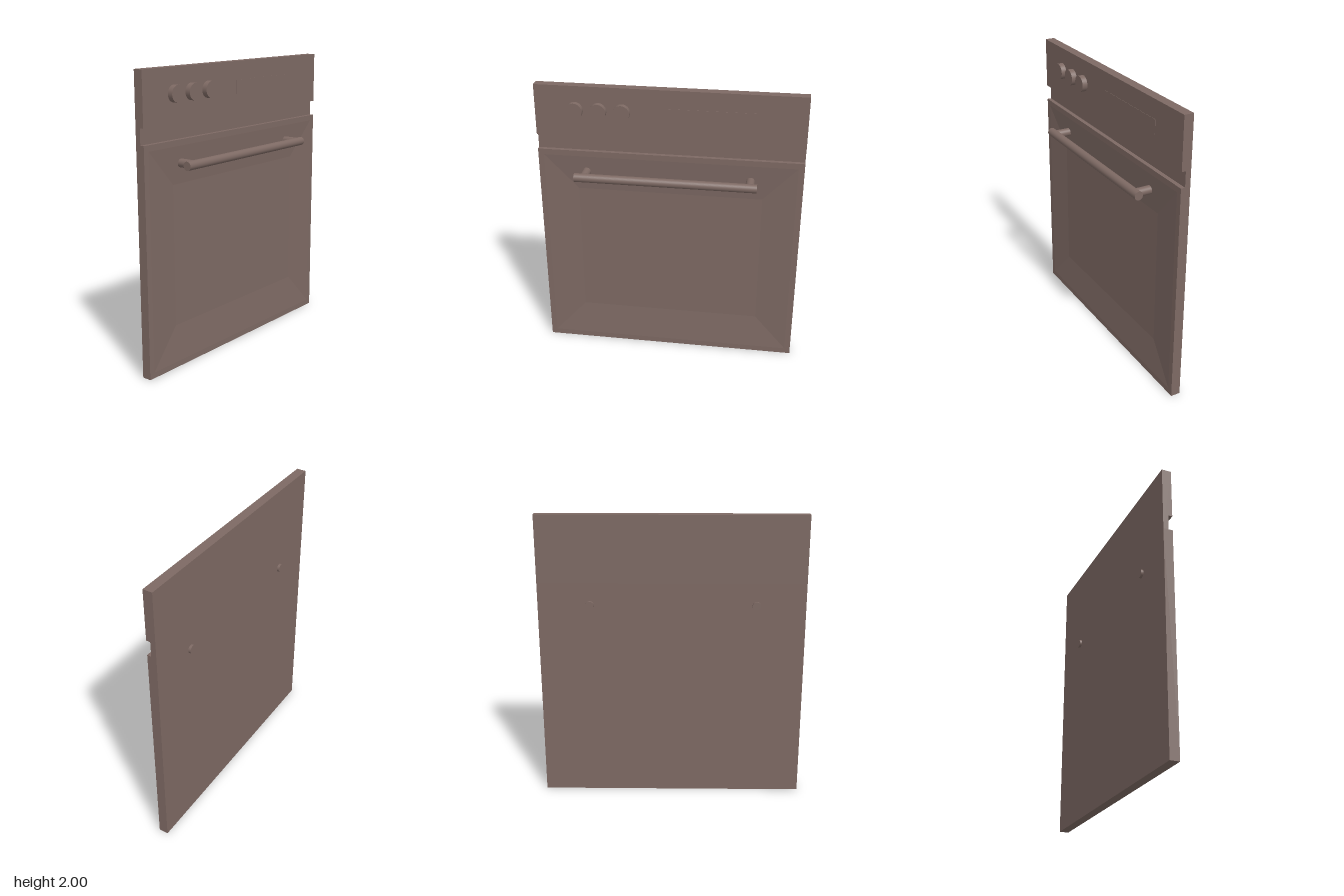
import * as THREE from 'three';

const material = new THREE.MeshStandardMaterial({ color: 0x7d6963, side: THREE.DoubleSide });
const HALF = 0.91, BACK = -0.092, FRONT = -0.026, GROOVE = -0.055;

function add(group, name, geometry, x = 0, y = 0, z = 0) {
  const mesh = new THREE.Mesh(geometry, material);
  mesh.name = name;
  mesh.position.set(x, y, z);
  group.add(mesh);
  return mesh;
}

// Cylinder lying along x, from x0 to x1
function rod(group, name, radius, x0, x1, y, z) {
  const geometry = new THREE.CylinderGeometry(radius, radius, x1 - x0, 32).rotateZ(-Math.PI / 2);
  return add(group, name, geometry, (x0 + x1) / 2, y, z);
}

// Closed solid lofted through rectangles [x, bottom, top, halfWidth], back to front
function rectLoft(rings) {
  const corners = rings.map(([x, y0, y1, w]) => [[x, y0, w], [x, y0, -w], [x, y1, -w], [x, y1, w]]);
  const positions = [];
  const quad = (a, b, c, d) => positions.push(...a, ...b, ...c, ...a, ...c, ...d);
  for (let i = 0; i < corners.length - 1; i++) {
    for (let k = 0; k < 4; k++) {
      const n = (k + 1) % 4;
      quad(corners[i][k], corners[i][n], corners[i + 1][n], corners[i + 1][k]);
    }
  }
  quad(...corners[0].slice().reverse());
  quad(...corners[corners.length - 1]);
  const geometry = new THREE.BufferGeometry();
  geometry.setAttribute('position', new THREE.Float32BufferAttribute(positions, 3));
  geometry.computeVertexNormals();
  return geometry;
}

export function createModel() {
  const model = new THREE.Group();
  model.name = 'ovenFront';

  // Door with a shallow, sloped recess in its face
  add(model, 'door', rectLoft([
    [BACK, 0, 1.54, HALF],
    [FRONT, 0, 1.54, HALF],
    [FRONT, 0.04, 1.5, 0.87],
    [FRONT - 0.02, 0.29, 1.25, 0.64],
  ]));

  // Control panel and the groove beneath it, as one stepped profile
  const profile = new THREE.Shape([
    [BACK, 1.54], [GROOVE, 1.54], [GROOVE, 1.646], [FRONT, 1.646], [FRONT, 2], [BACK, 2],
  ].map(([x, y]) => new THREE.Vector2(x, y)));
  add(model, 'controlPanel',
    new THREE.ExtrudeGeometry(profile, { depth: 2 * HALF, bevelEnabled: false }), 0, 0, -HALF);

  // Display window, almost flush
  add(model, 'display', new THREE.BoxGeometry(0.004, 0.096, 0.63), FRONT, 1.826, -0.295);

  // Knobs
  for (const z of [0.635, 0.475, 0.315]) rod(model, 'knob', 0.056, FRONT - 0.005, 0.011, 1.835, z);

  // Handle bar on two posts that pass through the door
  const handle = new THREE.Group();
  handle.name = 'handle';
  model.add(handle);
  add(handle, 'handleBar',
    new THREE.CylinderGeometry(0.03, 0.03, 1.242, 32).rotateX(Math.PI / 2), 0.075, 1.386, 0.016);
  for (const z of [-0.555, 0.575]) rod(handle, 'handlePost', 0.029, -0.109, 0.07, 1.386, z);

  return model;
}
